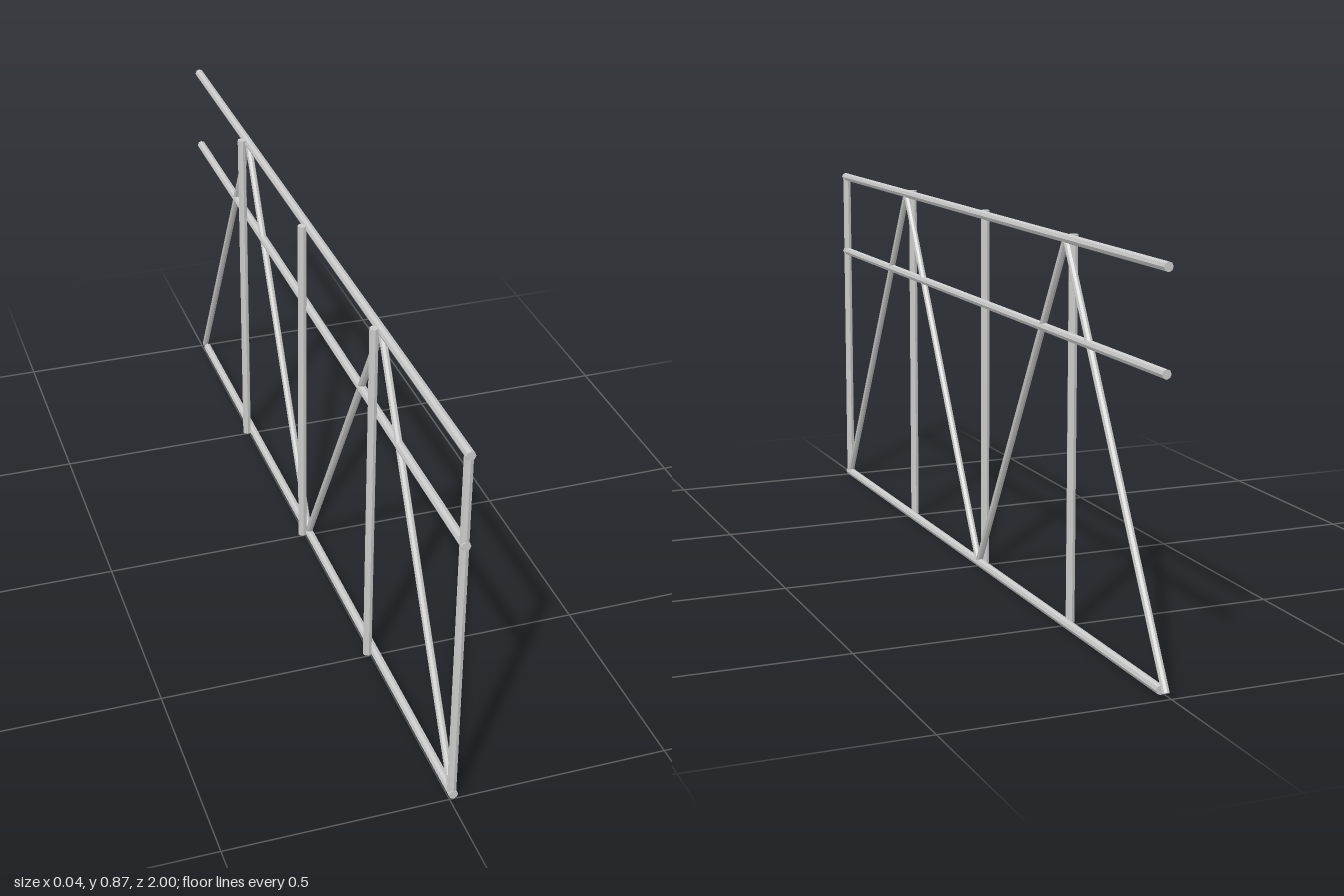
import * as THREE from 'three';

const material = new THREE.MeshStandardMaterial({ color: 0xcccccc, flatShading: true });

// Eight-sided bar between two [y, z] points in the plane at x
function bar(name, x, a, b, radius) {
  const start = new THREE.Vector3(x, ...a);
  const end = new THREE.Vector3(x, ...b);
  const dir = end.clone().sub(start);
  const mesh = new THREE.Mesh(new THREE.CylinderGeometry(radius, radius, dir.length(), 8), material);
  mesh.name = name;
  mesh.position.copy(start).add(end).multiplyScalar(0.5);
  mesh.quaternion.setFromUnitVectors(new THREE.Vector3(0, 1, 0), dir.normalize());
  return mesh;
}

export function createModel() {
  const group = new THREE.Group();
  group.name = 'trussFrame';
  const r = 0.0105, frameX = 0.0085, postX = -0.0085;
  const low = 0.0115, high = 0.865;

  // Long horizontal rails, stopping short at the back
  const rails = { bottomRail: low, middleRail: 0.655, topRail: high };
  for (const [name, y] of Object.entries(rails)) {
    group.add(bar(name, frameX, [y, 1], [y, -0.97], r));
  }

  // Front end post, in line with the rails
  group.add(bar('endPost', frameX, [low, 0.989], [high, 0.989], r));

  // Upright posts fixed to the side of the rails
  [0.497, 0, -0.498].forEach((z, i) => {
    group.add(bar(`post${i + 1}`, postX, [0.008, z], [0.873, z], r));
  });

  // Zigzag diagonal braces
  const nodes = [[low, 0.989], [high, 0.497], [low, 0], [high, -0.498], [low, -0.992]];
  for (let i = 0; i < 4; i++) {
    group.add(bar(`brace${i + 1}`, frameX, nodes[i], nodes[i + 1], 0.0085));
  }
  return group;
}
